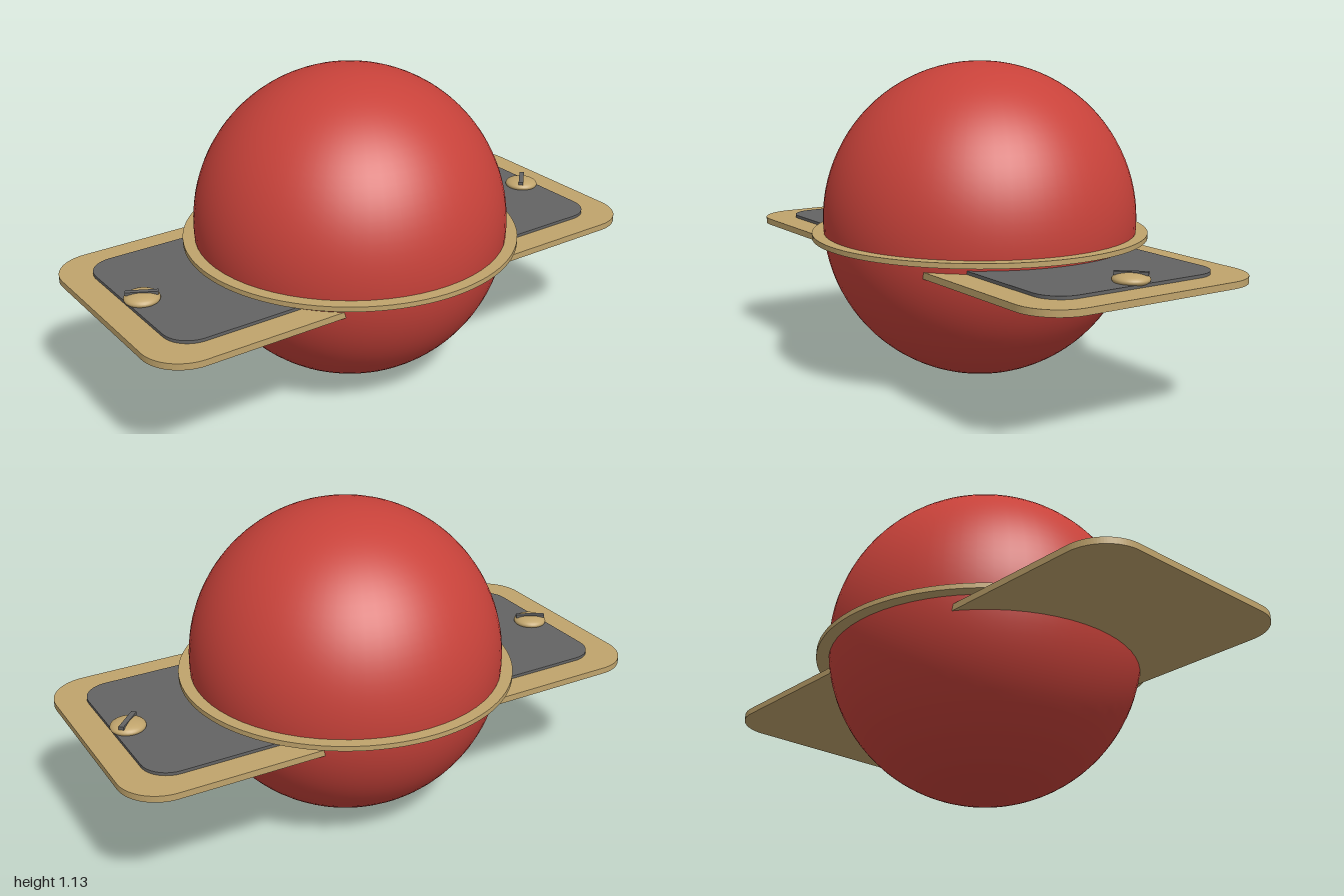
import * as THREE from 'three';

const mat = (name, color, side = THREE.FrontSide) => {
  const m = new THREE.MeshStandardMaterial({ color, side });
  m.name = name;
  return m;
};

// Flat slab with rounded corners, lying in the xz plane
function slab(halfX, halfZ, radius, bottom, top) {
  const s = new THREE.Shape();
  s.moveTo(halfX, -halfZ + radius);
  s.absarc(halfX - radius, halfZ - radius, radius, 0, Math.PI / 2);
  s.absarc(-halfX + radius, halfZ - radius, radius, Math.PI / 2, Math.PI);
  s.absarc(-halfX + radius, -halfZ + radius, radius, Math.PI, Math.PI * 1.5);
  s.absarc(halfX - radius, -halfZ + radius, radius, Math.PI * 1.5, Math.PI * 2);
  const g = new THREE.ExtrudeGeometry(s, { depth: top - bottom, bevelEnabled: false, curveSegments: 12 });
  return g.rotateX(-Math.PI / 2).translate(0, bottom, 0);
}

export function createModel() {
  const model = new THREE.Group();
  const red = mat('red dome', 0xc8423a);
  const brass = mat('brass', 0xc0a46c);
  const grey = mat('dark grey', 0x646464);

  const add = (parent, name, geometry, material) => {
    const mesh = new THREE.Mesh(geometry, material);
    mesh.name = name;
    parent.add(mesh);
    return mesh;
  };

  // Ball
  add(model, 'ball', new THREE.SphereGeometry(0.567, 64, 48), red).position.y = 0.569;

  // Thin collar around the ball
  const collar = new THREE.Shape().absarc(0, 0, 0.608, 0, Math.PI * 2);
  collar.holes.push(new THREE.Path().absarc(0, 0, 0.54, 0, Math.PI * 2, true));
  const collarGeometry = new THREE.ExtrudeGeometry(collar, { depth: 0.018, bevelEnabled: false, curveSegments: 48 });
  add(model, 'collar', collarGeometry.rotateX(-Math.PI / 2).translate(0, 0.508, 0), brass);

  // Base plate with a raised inlay
  add(model, 'basePlate', slab(1, 0.445, 0.15, 0.457, 0.48), brass);
  add(model, 'inlayPlate', slab(0.898, 0.345, 0.1, 0.478, 0.491), grey);

  // Slotted screws, turned to different angles
  for (const [name, x, turn] of [['leftScrew', 0.845, 0.8], ['rightScrew', -0.845, -0.5]]) {
    const screw = new THREE.Group();
    screw.name = name;
    screw.position.set(x, 0.498, 0);
    screw.rotation.y = turn;
    add(screw, 'screwHead', new THREE.SphereGeometry(0.062, 32, 16), brass).scale.y = 0.36;
    add(screw, 'screwSlot', new THREE.BoxGeometry(0.11, 0.012, 0.018), grey).position.y = 0.019;
    model.add(screw);
  }
  return model;
}
